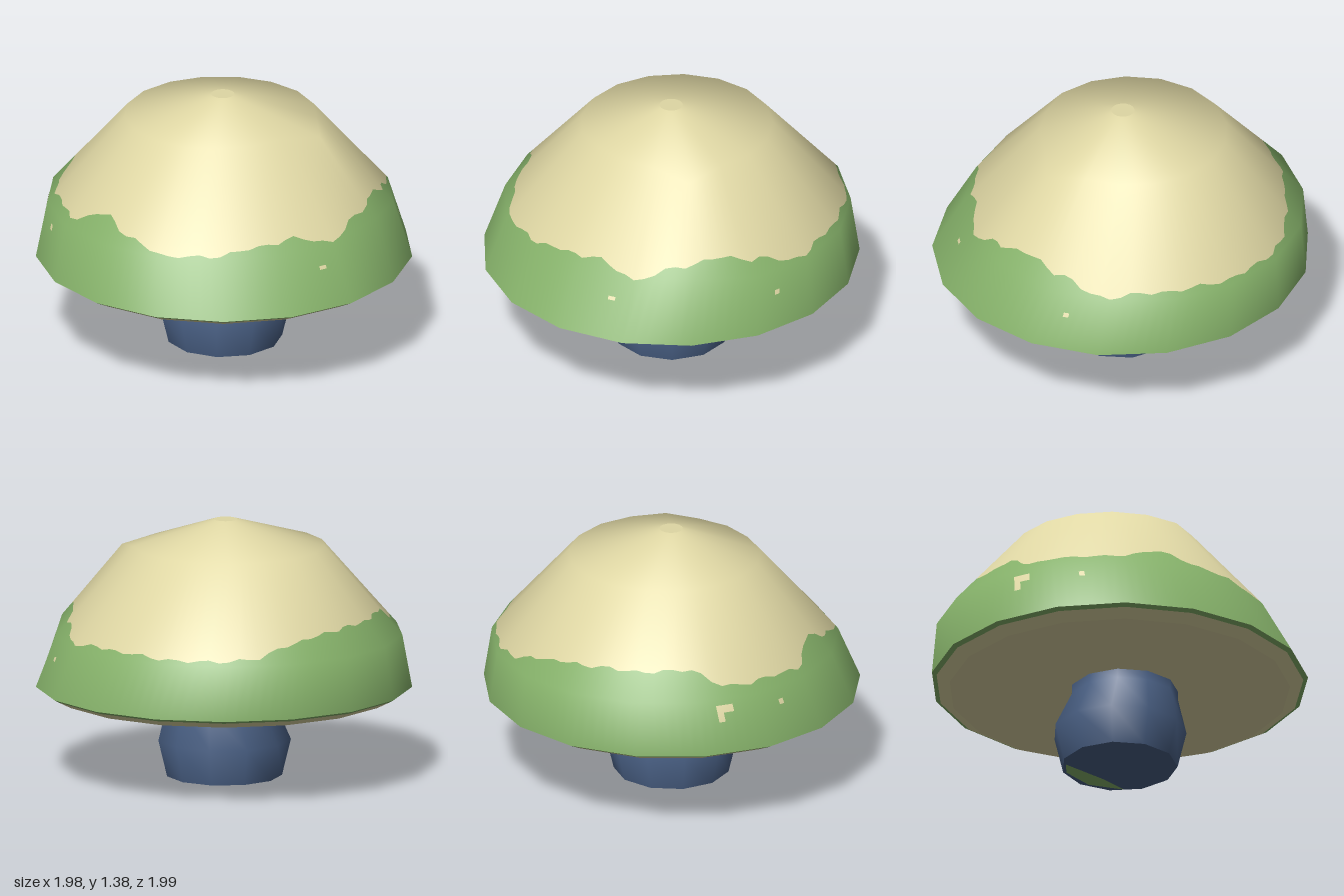
import * as THREE from 'three';

const SIDES = 17, COLS = 102;

function material(name, color, side = THREE.FrontSide) {
  const m = new THREE.MeshStandardMaterial({ color, side });
  m.name = name;
  return m;
}

// Cap rings: [height, radius, centre x, centre z]
const RINGS = [
  [0.49, 1.0, 0, 0],
  [0.78, 0.92, -0.05, -0.02],
  [1.25, 0.51, -0.05, -0.02],
  [1.38, 0.062, -0.01, 0],
];

// Height of the colour boundary every 15 degrees, from +x towards +z
const EDGE = [0.785, 0.84, 0.82, 0.79, 0.785, 0.83, 0.9, 0.82, 0.83, 0.83, 0.92, 0.91,
  0.91, 0.9, 0.87, 0.81, 0.8, 0.8, 0.81, 0.81, 0.79, 0.85, 0.88, 0.84];

function ringVertex(i, j) {
  let [y, r, cx, cz] = RINGS[i];
  if (i === 2 && j === 16) { r = 0.59; y = 1.22; } // raised ridge
  if (i === 2 && j >= 0 && j <= 2) r = 0.485;      // flattened sector beside it
  if (i === 1 && j === 16) y = 0.82;
  if (i === 1 && j >= 0 && j <= 2) r = 0.89;
  const a = (j / SIDES) * Math.PI * 2;
  return [cx + r * Math.cos(a), y, cz + r * Math.sin(a)];
}

function gridIndex(rows, cols, wrap) {
  const index = [], stride = wrap ? cols : cols + 1;
  for (let i = 0; i < rows - 1; i++) {
    for (let j = 0; j < cols; j++) {
      const k = wrap ? (j + 1) % cols : j + 1;
      const a = i * stride + j, b = i * stride + k;
      const c = a + stride, d = b + stride;
      index.push(a, c, b, b, c, d);
    }
  }
  return index;
}

// Coarse cap, used to sample positions and smooth normals
function coarseCap() {
  const pos = [];
  for (let i = 0; i < RINGS.length; i++)
    for (let j = 0; j < SIDES; j++) pos.push(...ringVertex(i, j));
  const g = new THREE.BufferGeometry();
  g.setAttribute('position', new THREE.Float32BufferAttribute(pos, 3));
  g.setIndex(gridIndex(RINGS.length, SIDES, true));
  g.computeVertexNormals();
  return g;
}

function sample(attr, t, u) {
  const i = Math.min(Math.floor(t), RINGS.length - 2), f = t - i;
  const s = (((u % 1) + 1) % 1) * SIDES;
  const j = Math.floor(s) % SIDES, k = (j + 1) % SIDES, g = s - Math.floor(s);
  const at = (r, c) => new THREE.Vector3().fromBufferAttribute(attr, r * SIDES + c);
  return at(i, j).lerp(at(i, k), g).lerp(at(i + 1, j).lerp(at(i + 1, k), g), f);
}

function edgeT(u) {
  const s = u * EDGE.length, j = Math.floor(s) % EDGE.length, f = s - Math.floor(s);
  const w = f * f * (3 - 2 * f);
  const h = EDGE[j] * (1 - w) + EDGE[(j + 1) % EDGE.length] * w + 0.008 * Math.sin(u * 190);
  return Math.max(1.001, 1 + (h - 0.78) / 0.47);
}

// Patch of the cap: each row gives a ring parameter t for an angle u
function capPatch(coarse, rows, u0 = 0, u1 = 1, cols = COLS, lift = 0) {
  const pos = [], nor = [];
  for (const row of rows) {
    for (let j = 0; j <= cols; j++) {
      const u = u0 + (u1 - u0) * (j / cols), t = row(u % 1);
      const n = sample(coarse.attributes.normal, t, u).normalize();
      const p = sample(coarse.attributes.position, t, u).addScaledVector(n, lift);
      pos.push(...p.toArray());
      nor.push(...n.toArray());
    }
  }
  const g = new THREE.BufferGeometry();
  g.setAttribute('position', new THREE.Float32BufferAttribute(pos, 3));
  g.setAttribute('normal', new THREE.Float32BufferAttribute(nor, 3));
  g.setIndex(gridIndex(rows.length, cols, false));
  return g;
}

export function createModel() {
  const model = new THREE.Group();
  model.name = 'mushroom';
  const cream = material('cream', 0xdfd7a4, THREE.DoubleSide);
  const green = material('green', 0x86b26a, THREE.DoubleSide);
  const blue = material('blue', 0x4a6186);
  const add = (name, geometry, mat, y = 0) => {
    const mesh = new THREE.Mesh(geometry, mat);
    mesh.name = name;
    mesh.position.y = y;
    model.add(mesh);
    return mesh;
  };

  // Cap: green skirt below a wavy edge, cream dome above
  const coarse = coarseCap();
  add('capSkirt', capPatch(coarse, [() => 0, () => 1, edgeT]), green);
  add('capDome', capPatch(coarse, [edgeT, () => 2, () => 3]), cream);
  const tip = new THREE.CircleGeometry(0.062, SIDES).rotateX(-Math.PI / 2);
  add('capTip', tip, cream, 1.38).position.x = -0.01;

  // Small cream specks on the skirt: [angle / turn, ring parameter, width, height]
  const specks = [[0.385, 0.82, 0.016, 0.14], [0.39, 0.68, 0.006, 0.2],
    [0.327, 0.72, 0.005, 0.1], [0.018, 0.66, 0.007, 0.06], [0.86, 0.62, 0.005, 0.08]];
  for (const [u, t, w, h] of specks)
    add('speck', capPatch(coarse, [() => t - h / 2, () => t + h / 2], u - w / 2, u + w / 2, 2, 0.003), cream);

  // Underside with a thin green lip
  const quarter = Math.PI / 2;
  add('capLip', new THREE.CylinderGeometry(1, 0.975, 0.014, SIDES, 1, true, quarter), green, 0.483);
  add('capUnderside', new THREE.CylinderGeometry(0.975, 0.905, 0.036, SIDES, 1, false, quarter), cream, 0.458);

  // Stem: three rings, the neck leaning slightly towards +x
  const profile = [[0, 0], [0.308, 0], [0.308, 0], [0.355, 0.195], [0.287, 0.39], [0.287, 0.46]];
  const stem = new THREE.LatheGeometry(profile.map(([r, y]) => new THREE.Vector2(r, y)), 11, -quarter);
  const p = stem.attributes.position;
  for (let i = 0; i < p.count; i++) if (p.getY(i) > 0.3) p.setX(i, p.getX(i) + 0.025);
  add('stem', stem, blue);

  // Painted patches on the neck and on the sole of the stem
  const neck = add('neckPatch', new THREE.CylinderGeometry(0.291, 0.291, 0.06, 6, 1, true, Math.PI - 0.3, 0.6), cream, 0.415);
  neck.position.x = 0.025;
  const sole = [[0.11, 0.27], [0.25, 0.13], [0.285, -0.06], [0.24, -0.15], [0.15, 0.1]]
    .map(([a, b]) => new THREE.Vector2((b - a) * Math.SQRT1_2, (-a - b) * Math.SQRT1_2));
  add('solePatch', new THREE.ShapeGeometry(new THREE.Shape(sole)).rotateX(quarter), green, -0.002);
  return model;
}
